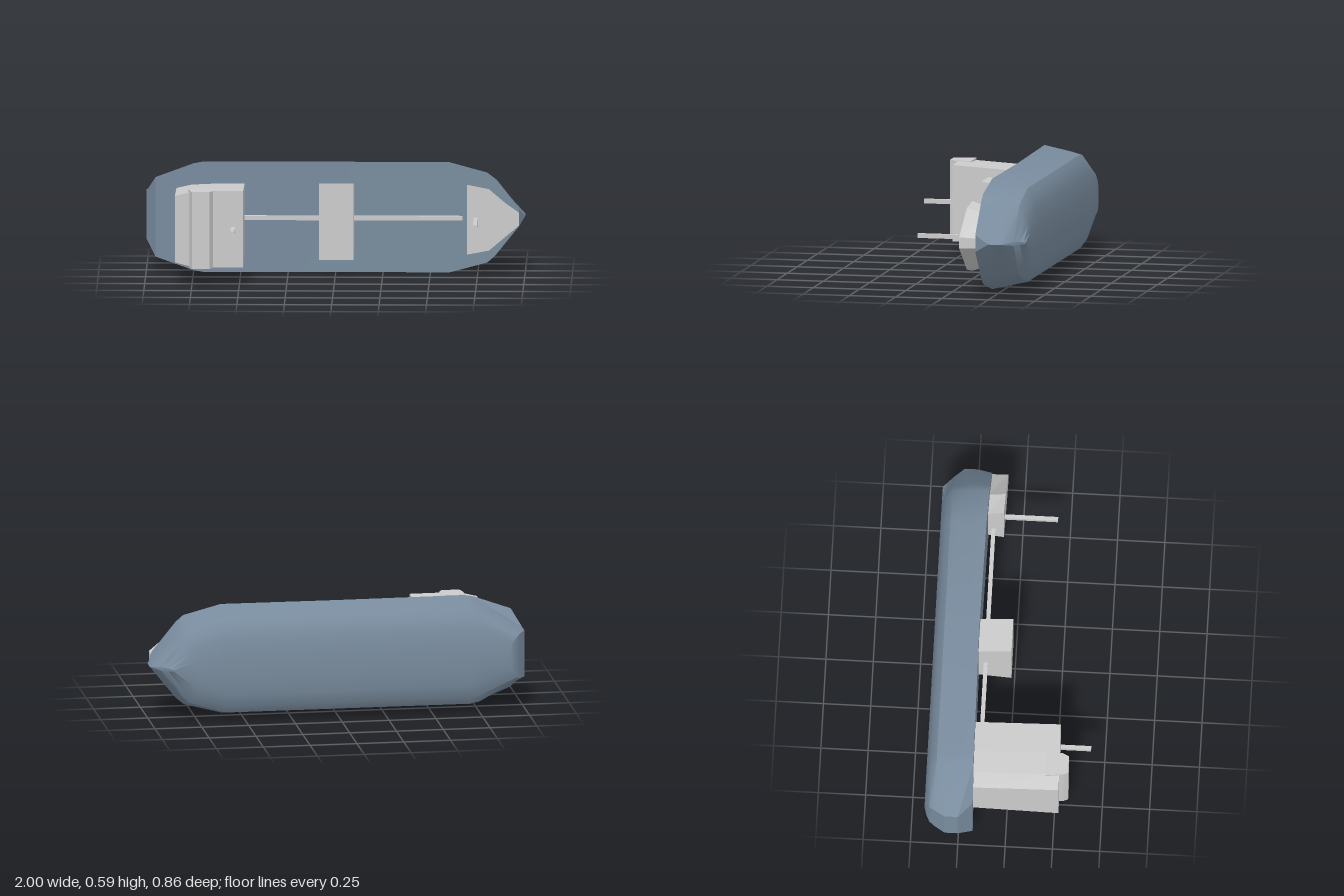
import * as THREE from 'three';
import { toCreasedNormals } from 'three/addons/utils/BufferGeometryUtils.js';

const MID = 0.295; // height of the ship's centreline
const hullPaint = new THREE.MeshStandardMaterial({ color: 0x798c9e });
const grey = new THREE.MeshStandardMaterial({ color: 0xcccccc });

// Hull outlines from deck to keel: z, then [x, half width] from stern to bow
const LAYERS = [
  [-0.172, [[-0.95, 0.212], [-0.75, 0.285], [-0.7, 0.294], [0, 0.294], [0.6, 0.294], [0.8, 0.24], [0.84, 0.205], [0.968, 0.045]]],
  [-0.25, [[-1, 0.125], [-0.75, 0.27], [-0.7, 0.278], [0, 0.278], [0.6, 0.278], [0.8, 0.228], [0.85, 0.19], [1, 0]]],
  [-0.32, [[-1, 0.125], [-0.75, 0.255], [-0.7, 0.262], [0, 0.262], [0.6, 0.262], [0.8, 0.21], [0.85, 0.165], [1, 0]]],
  [-0.375, [[-0.967, 0.12], [-0.75, 0.24], [-0.7, 0.25], [0, 0.25], [0.6, 0.25], [0.8, 0.19], [0.84, 0.15], [0.947, 0.01]]],
  [-0.403, [[-0.948, 0.11], [-0.74, 0.205], [-0.7, 0.212], [0, 0.212], [0.6, 0.212], [0.78, 0.16], [0.82, 0.12], [0.918, 0.008]]],
  [-0.421, [[-0.92, 0.08], [-0.73, 0.14], [-0.7, 0.145], [0, 0.145], [0.6, 0.145], [0.76, 0.11], [0.8, 0.08], [0.9, 0.006]]],
  [-0.43, [[-0.9, 0.04], [-0.72, 0.058], [-0.7, 0.06], [0, 0.06], [0.6, 0.06], [0.75, 0.05], [0.79, 0.04], [0.89, 0.004]]],
];

function hullGeometry() {
  const n = LAYERS[0][1].length;
  const ring = 2 * n;
  const positions = [];
  const index = [];
  LAYERS.forEach(([z, pts], k) => {
    // the deck dips slightly amidships
    const put = (x, y) => positions.push(x, MID + y, k === 0 ? z - 0.018 * (1 - x * x) : z);
    for (const [x, w] of pts) put(x, w);
    for (const [x, w] of [...pts].reverse()) put(x, -w);
  });
  // Plating between neighbouring outlines
  for (let k = 0; k < LAYERS.length - 1; k++) {
    for (let j = 0; j < ring; j++) {
      const a = k * ring + j;
      const b = k * ring + (j + 1) % ring;
      index.push(a, b, a + ring, b, b + ring, a + ring);
    }
  }
  // Deck and flat of bottom
  const base = (LAYERS.length - 1) * ring;
  for (let j = 0; j < n - 1; j++) {
    const p = j, p2 = j + 1, q = ring - 1 - j, q2 = ring - 2 - j;
    index.push(q, q2, p2, q, p2, p);
    index.push(base + q, base + p2, base + q2, base + q, base + p, base + p2);
  }
  const g = new THREE.BufferGeometry();
  g.setAttribute('position', new THREE.Float32BufferAttribute(positions, 3));
  g.setIndex(index);
  return toCreasedNormals(g, 0.5);
}

// Mirrored plan outline raised from z0 to z1; foot narrows it at the deck, slope tilts the top
function house(name, half, z0, z1, foot, slope = 0) {
  const pts = [...half, ...[...half].reverse().map(([x, w]) => [x, -w])];
  const g = new THREE.ExtrudeGeometry(new THREE.Shape(pts.map(([x, y]) => new THREE.Vector2(x, y))),
    { depth: z1 - z0, bevelEnabled: false });
  const p = g.attributes.position;
  const xMid = (half[0][0] + half[half.length - 1][0]) / 2;
  for (let i = 0; i < p.count; i++) {
    const top = p.getZ(i) > 0.001;
    if (top) p.setZ(i, p.getZ(i) + slope * (p.getX(i) - xMid));
    else p.setY(i, p.getY(i) * foot);
  }
  g.translate(0, MID, z0);
  g.computeVertexNormals();
  const m = new THREE.Mesh(g, grey);
  m.name = name;
  return m;
}

function bar(name, x0, x1, z0, z1) {
  const m = new THREE.Mesh(new THREE.BoxGeometry(x1 - x0, 0.023, z1 - z0), grey);
  m.position.set((x0 + x1) / 2, MID, (z0 + z1) / 2);
  m.name = name;
  return m;
}

export function createModel() {
  const ship = new THREE.Group();
  ship.name = 'ship';

  const hull = new THREE.Mesh(hullGeometry(), hullPaint);
  hull.name = 'hull';
  ship.add(hull);

  // Deckhouses
  ship.add(house('aftHouse', [[-0.84, 0.177], [-0.76, 0.198], [-0.64, 0.204], [-0.48, 0.204]], -0.2, 0.27, 0.86, -0.02));
  ship.add(house('midHouse', [[-0.085, 0.204], [0.098, 0.204]], -0.2, -0.015, 0.85));
  ship.add(house('forecastle', [[0.695, 0.186], [0.81, 0.164], [0.968, 0.03]], -0.19, -0.092, 0.84, 0.04));

  // Funnel casing across the aft house
  const profile = [[-0.77, 0.2], [-0.76, 0.295], [-0.75, 0.32], [-0.657, 0.32], [-0.64, 0.285], [-0.64, 0.2]];
  const casing = new THREE.ExtrudeGeometry(
    new THREE.Shape(profile.map(([x, z]) => new THREE.Vector2(x, -z))), { depth: 0.41, bevelEnabled: false });
  casing.rotateX(-Math.PI / 2).translate(0, MID - 0.205, 0);
  const funnel = new THREE.Mesh(casing, grey);
  funnel.name = 'funnelCasing';
  ship.add(funnel);

  // Masts and deck pipes
  ship.add(bar('aftMast', -0.545, -0.523, 0.25, 0.43));
  ship.add(bar('foreMast', 0.73, 0.752, -0.11, 0.187));
  ship.add(bar('aftDeckPipe', -0.49, -0.08, -0.162, -0.14));
  ship.add(bar('foreDeckPipe', 0.09, 0.67, -0.162, -0.14));
  return ship;
}
